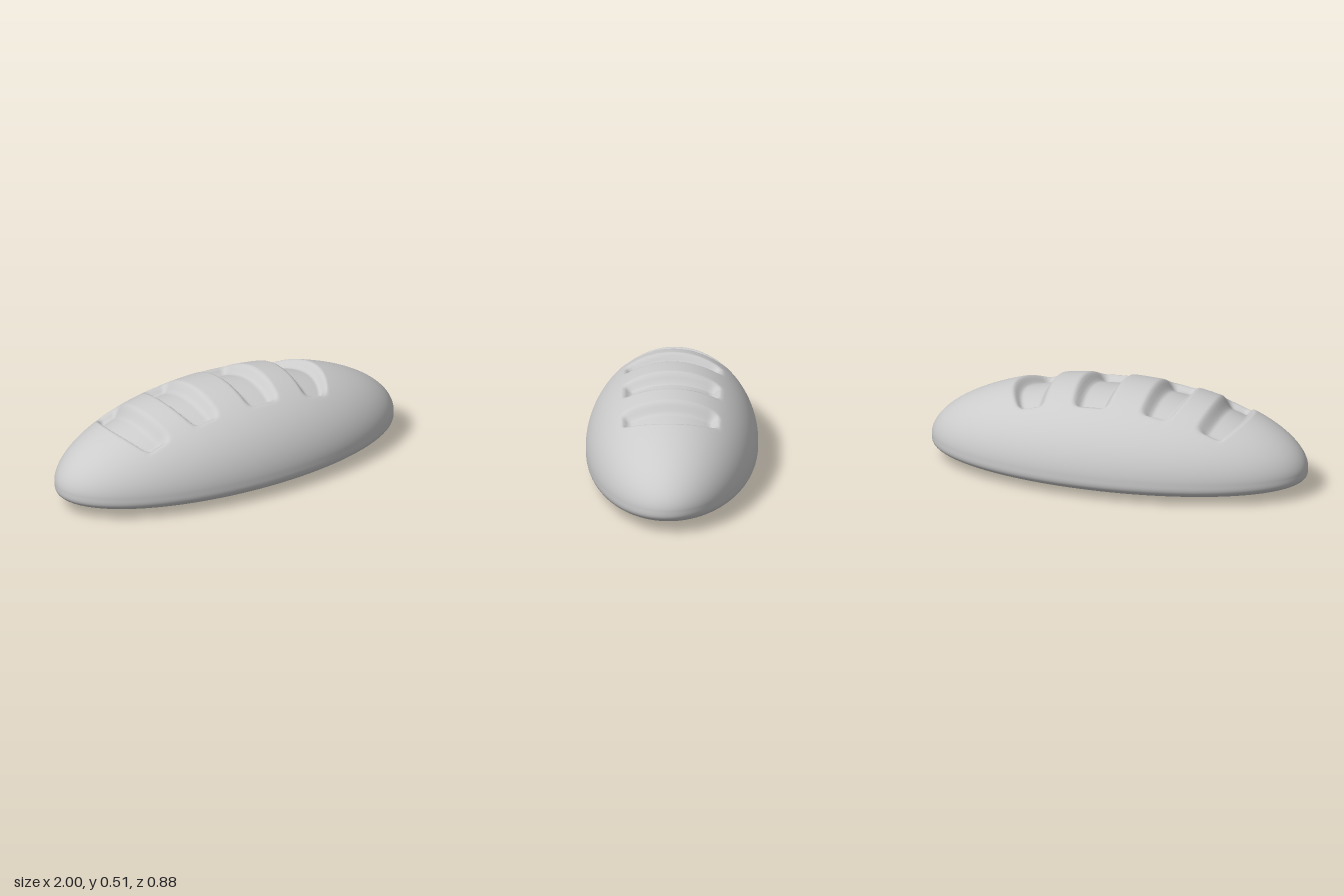
import * as THREE from 'three';
import { mergeVertices } from 'three/addons/utils/BufferGeometryUtils.js';

const HALF_DEPTH = 0.44, WAIST = 0.13, DOME = 0.383;

// Slashes across the crust: left and right edges at the middle and at the ends
const SLASHES = [
  { left: -0.70, right: -0.52, leftEnd: -0.63, rightEnd: -0.49 },
  { left: -0.385, right: -0.195, leftEnd: -0.345, rightEnd: -0.19 },
  { left: -0.015, right: 0.195, leftEnd: -0.01, rightEnd: 0.175 },
  { left: 0.345, right: 0.55, leftEnd: 0.335, rightEnd: 0.475 },
];

const { smoothstep, lerp } = THREE.MathUtils;

// How far the crust is pressed in at a point
function slashDepth(x, z) {
  const bend = Math.min(1, (z / 0.23) ** 2);
  const ends = 1 - smoothstep(Math.abs(z), 0.2, 0.255);
  let depth = 0;
  for (const s of SLASHES) {
    const left = lerp(s.left, s.leftEnd, bend);
    const right = lerp(s.right, s.rightEnd, bend);
    const across = smoothstep(x, left - 0.01, left + 0.04) * (1 - smoothstep(x, right - 0.045, right + 0.01));
    depth = Math.max(depth, 0.055 * across * ends);
  }
  return depth;
}

// Loaf skin: oval rings along x, domed above the waist and nearly flat below
function loafGeometry(rings = 260, sides = 160) {
  const positions = [], index = [];
  for (let i = 0; i <= rings; i++) {
    const t = (i / rings) * Math.PI;
    const x = -Math.cos(t), width = Math.sin(t);
    for (let j = 0; j < sides; j++) {
      const a = (j / sides) * Math.PI * 2;
      const z = HALF_DEPTH * width * Math.cos(a);
      const rise = Math.abs(width * Math.sin(a));
      const y = Math.sin(a) >= 0
        ? WAIST + DOME * rise ** 1.1 - slashDepth(x, z)
        : WAIST - WAIST * rise ** 0.5;
      positions.push(x, y, z);
      if (i < rings) {
        const k = (j + 1) % sides;
        const p = i * sides + j, q = p + sides;
        const r = i * sides + k, s = r + sides;
        if (i < rings - 1) index.push(p, q, s);
        if (i > 0) index.push(p, s, r);
      }
    }
  }
  const geometry = new THREE.BufferGeometry();
  geometry.setAttribute('position', new THREE.Float32BufferAttribute(positions, 3));
  geometry.setIndex(index);
  const merged = mergeVertices(geometry, 1e-5);
  merged.computeVertexNormals();
  return merged;
}

export function createModel() {
  const group = new THREE.Group();
  group.name = 'breadLoaf';
  const loaf = new THREE.Mesh(loafGeometry(), new THREE.MeshStandardMaterial({ color: 0xcccccc }));
  loaf.name = 'slashedLoaf';
  group.add(loaf);
  return group;
}
